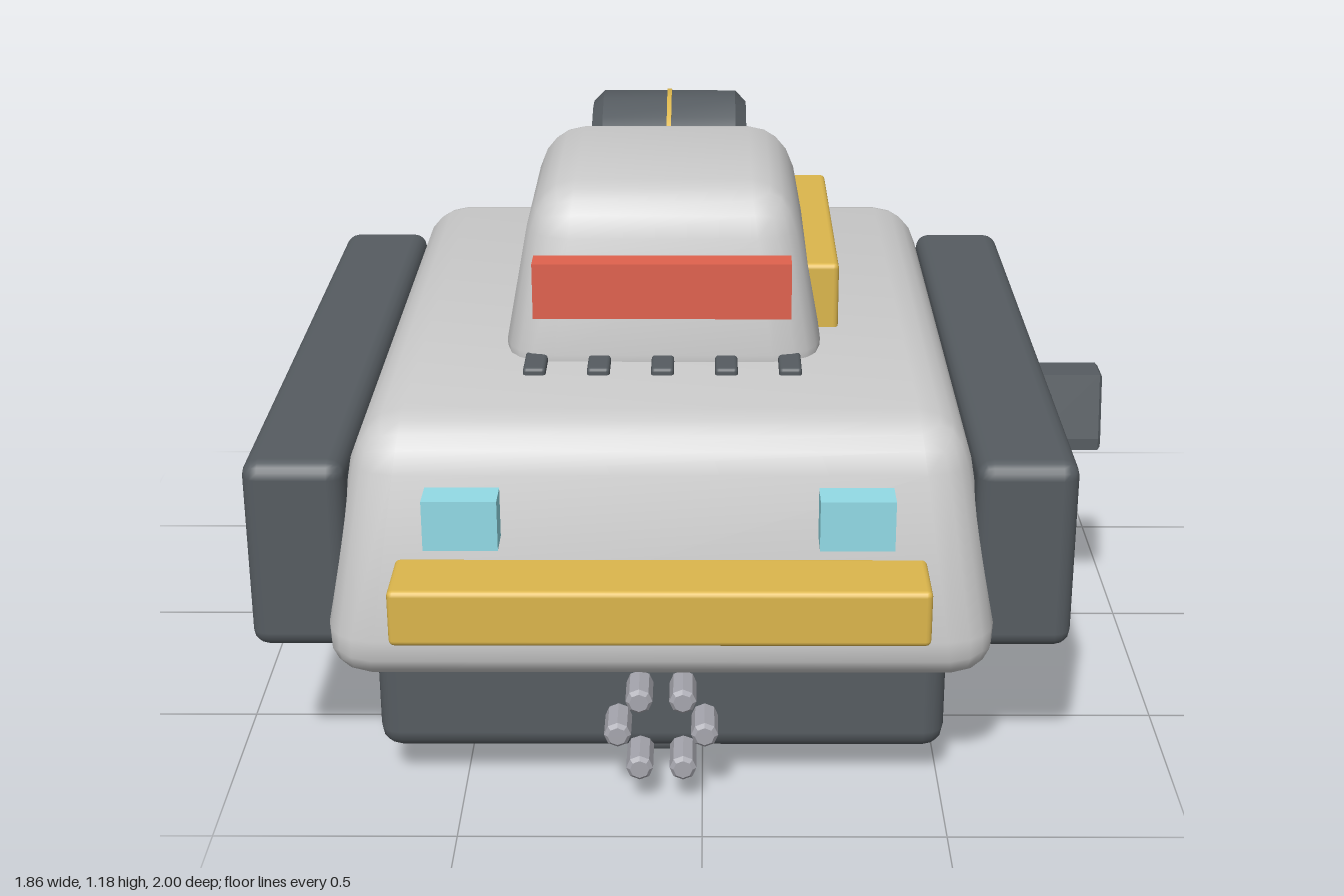
import * as THREE from 'three';
import { RoundedBoxGeometry } from 'three/addons/geometries/RoundedBoxGeometry.js';
import { mergeVertices, toCreasedNormals } from 'three/addons/utils/BufferGeometryUtils.js';

const mat = (color) => new THREE.MeshStandardMaterial({ color });
const CX = -0.085; // centre line of the hull

export function createModel() {
  const model = new THREE.Group();
  const grey = mat(0xcccccc), dark = mat(0x565c61), steel = mat(0xa6a6ae);
  const yellow = mat(0xdcb64c), cyan = mat(0x92dbe6), red = mat(0xe0624e);

  const add = (name, geometry, material) => {
    const mesh = new THREE.Mesh(geometry, material);
    mesh.name = name;
    model.add(mesh);
    return mesh;
  };

  // Rounded box given by its min and max corners; taper narrows it upwards
  const block = (name, material, [x0, y0, z0], [x1, y1, z1], radius, taper = 0) => {
    const h = y1 - y0;
    let g = new RoundedBoxGeometry(x1 - x0, h, z1 - z0, 2, radius);
    if (taper) {
      const p = g.attributes.position;
      for (let i = 0; i < p.count; i++) {
        const s = 1 - taper * p.getY(i) / (h / 2);
        p.setX(i, p.getX(i) * s);
        p.setZ(i, p.getZ(i) * s);
      }
      g.deleteAttribute('uv');
      g.deleteAttribute('normal');
      g = toCreasedNormals(mergeVertices(g, 1e-4), 0.75);
    }
    const mesh = add(name, g, material);
    mesh.position.set((x0 + x1) / 2, (y0 + y1) / 2, (z0 + z1) / 2);
    return mesh;
  };

  const plainBox = (name, material, size, pos) =>
    add(name, new THREE.BoxGeometry(...size), material).position.set(...pos);

  // Drum with bevelled rims, turned about y and centred
  const drumGeometry = (radius, length, bevel, sides) => {
    const h = length / 2;
    const pts = [[0, -h], [radius - bevel, -h], [radius, -h + bevel],
      [radius, h - bevel], [radius - bevel, h], [0, h]].map(([x, y]) => new THREE.Vector2(x, y));
    return toCreasedNormals(new THREE.LatheGeometry(pts, sides), 0.5);
  };

  // Main bodies
  block('lowerChassis', dark, [-0.68, 0.08, -0.76], [0.51, 0.42, 0.795], 0.045);
  block('hull', grey, [CX - 0.66, 0.285, -0.823], [CX + 0.66, 0.825, 0.85], 0.1, 0.065);
  block('cabin', grey, [CX - 0.317, 0.74, -0.278], [CX + 0.317, 1.185, 0.415], 0.1, 0.13);

  // Side pods
  for (const s of [-1, 1]) {
    const x = CX + s * 0.745;
    block(s > 0 ? 'leftPod' : 'rightPod', dark, [x - 0.105, 0.32, -0.763], [x + 0.105, 0.735, 0.79], 0.035);
  }

  // Bumper, side bar and rear box
  block('frontBumper', yellow, [-0.62, 0.435, 0.84], [0.453, 0.555, 1], 0.012);
  block('sideBar', yellow, [0.128, 0.78, -0.488], [0.3, 0.972, 0.222], 0.012);
  block('rearBox', steel, [-0.232, 0.32, -1], [0.062, 0.494, -0.77], 0.015);

  // Lamps
  for (const x of [-0.475, 0.305]) plainBox('headlight', cyan, [0.148, 0.105, 0.07], [x, 0.676, 0.918]);
  plainBox('lightBar', red, [0.54, 0.12, 0.06], [CX, 1.008, 0.482]);

  // Row of small feet in front of the cabin
  for (let i = -2; i <= 2; i++) {
    block('cabinFoot', dark, [CX + i * 0.135 - 0.024, 0.8, 0.4], [CX + i * 0.135 + 0.024, 0.84, 0.52], 0.008);
  }

  // Rear drum with its thin band
  const drum = add('rearDrum', drumGeometry(0.237, 0.38, 0.027, 18), dark);
  const band = add('drumBand', new THREE.CylinderGeometry(0.241, 0.241, 0.011, 18), yellow);
  for (const m of [drum, band]) {
    m.rotation.z = Math.PI / 2;
    m.position.set(CX, 0.915, -0.587);
  }

  // Side knob: faceted flange with a wedge-shaped grip
  const flange = add('knobFlange', new THREE.CylinderGeometry(0.07, 0.113, 0.05, 8), dark);
  flange.geometry.rotateY(Math.PI / 8);
  flange.geometry.rotateZ(-Math.PI / 2);
  flange.geometry.scale(1, 0.88, 1.06);
  flange.position.set(0.785, 0.556, 0.016);
  const grip = new THREE.Shape([[-0.07, -0.088], [0.07, -0.088], [0.07, -0.06], [0.04, 0.088], [-0.04, 0.088], [-0.07, -0.06]]
    .map(([x, y]) => new THREE.Vector2(x, y)));
  const gripGeometry = new THREE.ExtrudeGeometry(grip, {
    depth: 0.15, bevelEnabled: true, bevelSize: 0.006, bevelThickness: 0.006, bevelOffset: -0.006, bevelSegments: 1,
  });
  gripGeometry.rotateY(Math.PI / 2);
  add('knobGrip', gripGeometry, dark).position.set(0.77, 0.558, 0.012);

  // Bundle of six rods under the chassis with ring and housing
  for (let i = 0; i < 6; i++) {
    const a = i * Math.PI / 3;
    const rod = add('rod', drumGeometry(0.028, 0.99, 0.008, 8), steel);
    rod.rotation.x = Math.PI / 2;
    rod.position.set(CX + 0.09 * Math.cos(a), 0.168 + 0.09 * Math.sin(a), 0.39);
  }
  add('rodRing', new THREE.TorusGeometry(0.132, 0.037, 6, 18), dark).position.set(CX, 0.168, 0.647);
  const housing = add('rodHousing', drumGeometry(0.148, 0.356, 0.03, 14), dark);
  housing.rotation.x = Math.PI / 2;
  housing.position.set(CX, 0.168, -0.16);

  return model;
}
